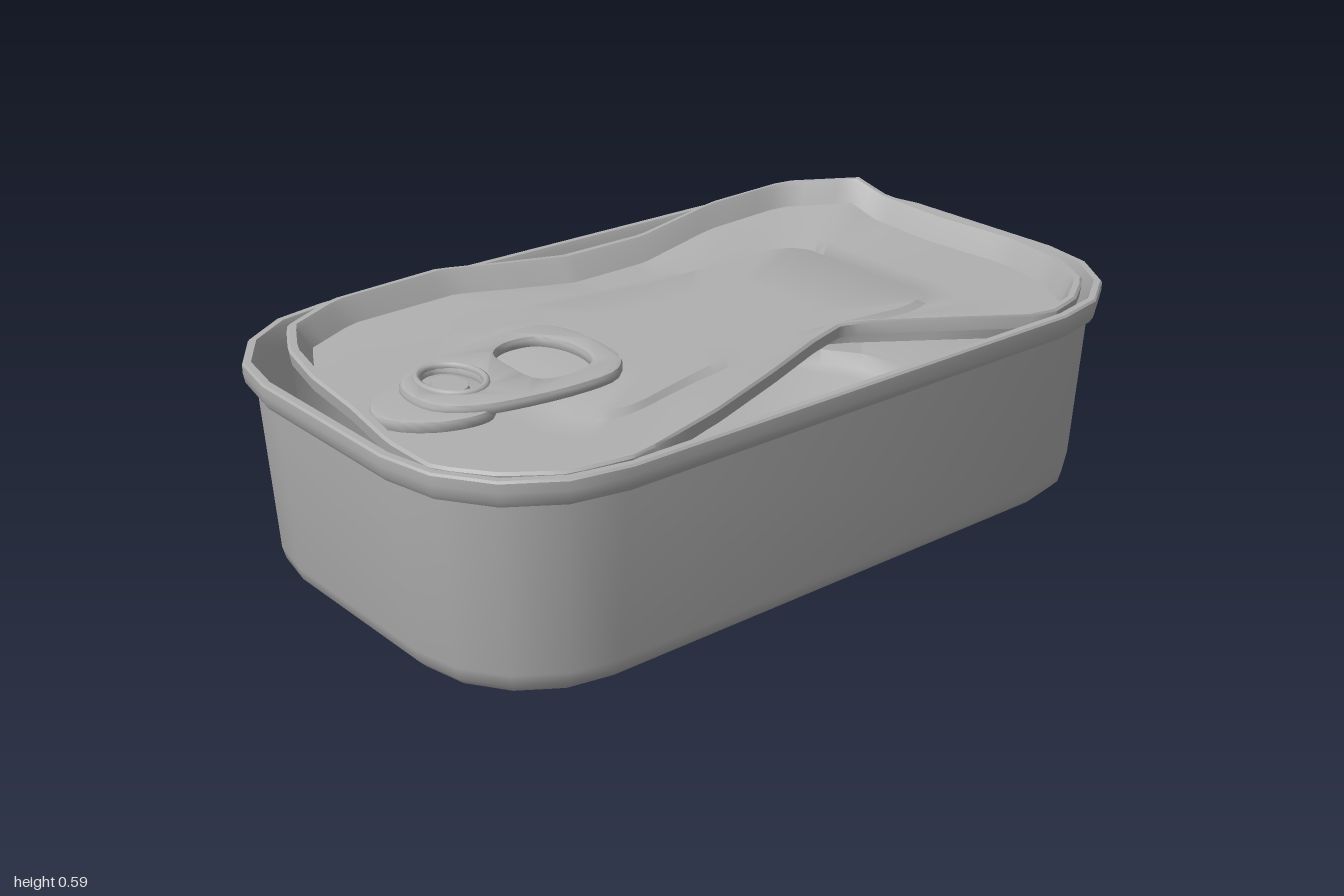
import * as THREE from 'three';
import { toCreasedNormals } from 'three/addons/utils/BufferGeometryUtils.js';

const tin = new THREE.MeshStandardMaterial({ color: 0xb0b0b0, side: THREE.DoubleSide });
tin.name = 'tin grey';

function addMesh(parent, name, geometry) {
  const mesh = new THREE.Mesh(geometry, tin);
  mesh.name = name;
  parent.add(mesh);
  return mesh;
}

// Skin closed rings of [x, y, z] points into one surface
function loft(rings, crease) {
  const n = rings[0].length, index = [];
  for (let j = 0; j < rings.length - 1; j++) {
    for (let k = 0; k < n; k++) {
      const a = j * n + k, b = j * n + (k + 1) % n;
      index.push(a, a + n, b + n, a, b + n, b);
    }
  }
  const geometry = new THREE.BufferGeometry();
  geometry.setAttribute('position', new THREE.Float32BufferAttribute(rings.flat(2), 3));
  geometry.setIndex(index);
  return toCreasedNormals(geometry, crease);
}

// Rounded rectangle, inset from the widest outline of the can
function canRing(inset, y) {
  const ring = [], radius = 0.36 - inset;
  const corners = [[1, 1], [-1, 1], [-1, -1], [1, -1]];
  corners.forEach(([sx, sz], q) => {
    for (let i = 0; i <= 4; i++) {
      const a = (q + i / 4) * Math.PI / 2;
      ring.push([sx * 0.235 + radius * Math.cos(a), y, sz * 0.64 + radius * Math.sin(a)]);
    }
  });
  return ring;
}

// Where a ray from the centre meets a closed outline of [x, z, y]: radius and height
function hit(outline, angle) {
  const c = Math.cos(angle), s = Math.sin(angle);
  for (let i = 0; i < outline.length; i++) {
    const p = outline[i], q = outline[(i + 1) % outline.length];
    const dx = q[0] - p[0], dz = q[1] - p[1];
    const det = c * dz - s * dx;
    if (Math.abs(det) < 1e-9) continue;
    const r = (p[0] * dz - p[1] * dx) / det;
    const t = (p[0] * s - p[1] * c) / det;
    if (r > 0 && t >= -1e-6 && t <= 1 + 1e-6) {
      return { r, y: (p[2] ?? 0) + t * ((q[2] ?? 0) - (p[2] ?? 0)) };
    }
  }
  return { r: 0.3, y: 0.5 };
}

// Crumpled edge of the lid: x, z, height
const lidEdge = [
  [0.56, -0.62, 0.535], [0.41, -0.4, 0.535], [0.325, -0.27, 0.535], [0.3, -0.2, 0.537],
  [0.34, -0.08, 0.54], [0.43, 0.12, 0.55], [0.52, 0.36, 0.553], [0.58, 0.62, 0.545],
  [0.55, 0.77, 0.542], [0.47, 0.88, 0.542], [0.36, 0.96, 0.542], [0.2, 0.96, 0.542],
  [0, 0.925, 0.542], [-0.2, 0.9, 0.54], [-0.37, 0.86, 0.54], [-0.5, 0.79, 0.542],
  [-0.57, 0.64, 0.548], [-0.585, 0.33, 0.552], [-0.545, 0.18, 0.545], [-0.51, 0, 0.535],
  [-0.505, -0.25, 0.538], [-0.515, -0.5, 0.572], [-0.5, -0.75, 0.585], [-0.38, -0.92, 0.59],
  [-0.3, -0.935, 0.56], [-0.1, -0.95, 0.545], [0.15, -0.975, 0.54], [0.32, -0.94, 0.54],
  [0.46, -0.86, 0.54], [0.53, -0.75, 0.537],
];

// Edge of the raised field pressed into the lid
const fieldEdge = [
  [0.2, -0.15], [0.205, 0.03], [0.24, 0.2], [0.29, 0.4], [0.28, 0.48], [0.22, 0.52],
  [0, 0.5], [-0.2, 0.47], [-0.28, 0.36], [-0.33, 0.2], [-0.32, 0.1], [-0.29, -0.1],
  [-0.29, -0.5], [-0.27, -0.56], [-0.22, -0.59], [0.16, -0.58], [0.22, -0.54], [0.24, -0.48],
];

function lidGeometry() {
  const base = 0.482, steps = 144;
  const rings = Array.from({ length: 13 }, () => []);
  for (let k = 0; k < steps; k++) {
    const a = k / steps * Math.PI * 2;
    const edge = hit(lidEdge, a), field = hit(fieldEdge, a);
    const foot = edge.r - 0.055, footY = edge.y - 0.06;
    const outer = Math.min(field.r + 0.02, foot - 0.008);
    const inner = outer - 0.025;
    const mix = (t) => [foot + (outer - foot) * t, footY + (base - footY) * t];
    // Lip, wall, crumpled panel, raised field
    const section = [
      [edge.r - 0.004, edge.y - 0.035], [edge.r, edge.y - 0.006], [edge.r - 0.006, edge.y],
      [edge.r - 0.022, edge.y], [edge.r - 0.03, edge.y - 0.012], [foot, footY],
      mix(0.25), mix(0.5), mix(0.75), [outer, base],
      [inner, base + 0.013], [inner * 0.5, base + 0.013], [0, base + 0.013],
    ];
    section.forEach(([r, y], j) => {
      const x = r * Math.cos(a), z = r * Math.sin(a);
      const fold = 0.02 * Math.exp(-((x - 0.33) ** 2) / 0.002 - ((z + 0.46) ** 2) / 0.012);
      rings[j].push([x, j > 5 && j < 9 ? y + fold : y, z]);
    });
  }
  return loft(rings, 0.6);
}

// Flat plate in the x-z plane from smooth closed outlines, with its top at y = 0
function plate(outline, holes, depth, bevel) {
  const smooth = (pts) => new THREE.CatmullRomCurve3(
    pts.map(([x, z]) => new THREE.Vector3(x, z, 0)), true).getPoints(40)
    .slice(0, -1).map((p) => new THREE.Vector2(p.x, p.y));
  const shape = new THREE.Shape(smooth(outline));
  holes.forEach((h) => shape.holes.push(new THREE.Path(smooth(h))));
  const geometry = new THREE.ExtrudeGeometry(shape, {
    depth, bevelEnabled: true, bevelSize: bevel, bevelThickness: bevel, bevelSegments: 2,
  });
  geometry.rotateX(Math.PI / 2).translate(0, -bevel, 0);
  return toCreasedNormals(geometry, 0.7);
}

function ellipse(x, z, rx, rz) {
  return Array.from({ length: 12 }, (_, i) => {
    const a = i / 12 * Math.PI * 2;
    return [x + rx * Math.cos(a), z + rz * Math.sin(a)];
  });
}

export function createModel() {
  const model = new THREE.Group();
  model.name = 'openedTin';

  // Can: floor underside, wall, rolled rim, inner wall, inner floor
  const profile = [
    [0.17, 0.02], [0.15, 0.014], [0.105, 0.014], [0.08, 0.024], [0.06, 0.045], [0.052, 0.075],
    [0.028, 0.475], [0.012, 0.475], [0.004, 0.488], [0, 0.51], [0, 0.53], [0.004, 0.535],
    [0.02, 0.535], [0.025, 0.522], [0.036, 0.47], [0.06, 0.08], [0.085, 0.045], [0.12, 0.03],
  ];
  const rings = profile.map(([inset, y]) => canRing(inset, y));
  rings.unshift(rings[0].map(() => [0, 0.02, 0]));
  rings.push(rings[1].map(() => [0, 0.03, 0]));
  addMesh(model, 'can', loft(rings, 0.65));

  // Small dent pushed out of the underside
  const dent = addMesh(model, 'undersideDent', new THREE.ConeGeometry(0.13, 0.02, 8));
  dent.rotation.x = Math.PI;
  dent.scale.z = 0.4;
  dent.position.set(0.17, 0.01, -0.82);

  addMesh(model, 'lid', lidGeometry());

  // Pull tab: tongue, ring with two openings, rivet and its collar
  const tab = new THREE.Group();
  tab.name = 'pullTab';
  tab.position.y = 0.526;
  model.add(tab);

  const tongue = [[-0.13, 0.66], [0, 0.6], [0.13, 0.66], [0.13, 0.75], [0.08, 0.83],
    [0.01, 0.865], [-0.05, 0.84], [-0.1, 0.77]];
  addMesh(tab, 'tongue', plate(tongue, [], 0.016, 0.006)).position.y = -0.018;

  const outline = [[-0.168, 0.4], [-0.165, 0.33], [-0.12, 0.295], [0, 0.285], [0.1, 0.3],
    [0.155, 0.35], [0.168, 0.44], [0.155, 0.58], [0.125, 0.69], [0.07, 0.755], [0, 0.768],
    [-0.07, 0.75], [-0.12, 0.69], [-0.15, 0.56]];
  const grip = [[-0.135, 0.42], [-0.12, 0.365], [-0.06, 0.33], [0.02, 0.325], [0.09, 0.35],
    [0.12, 0.41], [0.12, 0.48], [0.09, 0.52], [0, 0.525], [-0.09, 0.51], [-0.125, 0.47]];
  addMesh(tab, 'ring', plate(outline, [grip, ellipse(-0.02, 0.66, 0.09, 0.07)], 0.01, 0.01));

  const collar = addMesh(tab, 'collar', new THREE.TorusGeometry(0.09, 0.01, 8, 24));
  collar.rotation.x = Math.PI / 2;
  collar.scale.y = 0.78;
  collar.position.set(-0.02, -0.002, 0.66);

  const rivet = addMesh(tab, 'rivet', new THREE.CylinderGeometry(0.05, 0.06, 0.02, 16));
  rivet.scale.z = 0.7;
  rivet.position.set(-0.01, -0.014, 0.67);

  return model;
}
